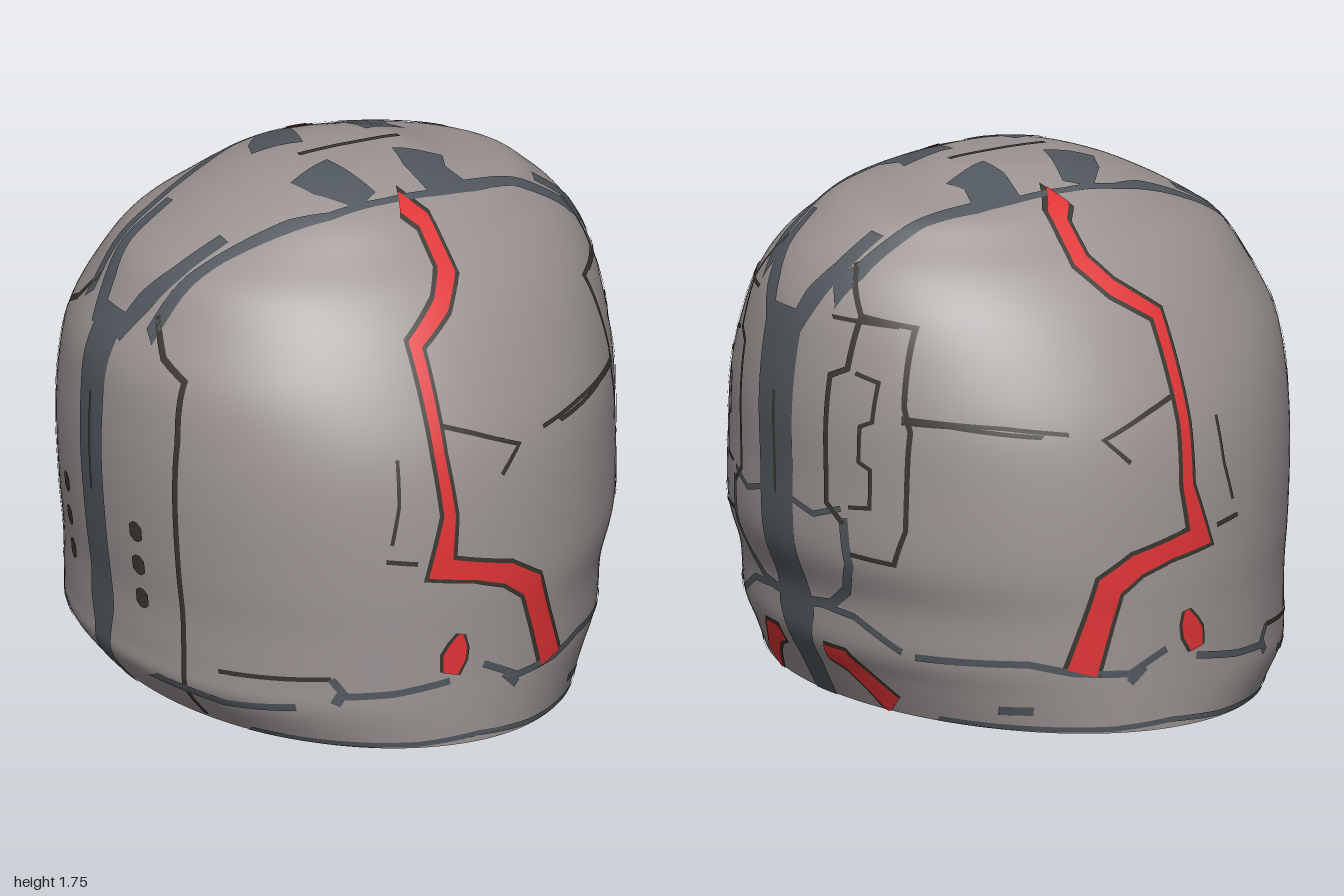
import * as THREE from 'three';

const mat = (name, color) => {
  const m = new THREE.MeshStandardMaterial({ color, side: THREE.DoubleSide });
  m.name = name;
  return m;
};

// Half-sizes of the shell by height: [y, -x side, +x side, z]
const PROFILE = [
  [0, .75, .70, 1], [.12, .85, .76, 1], [.22, .86, .81, .998], [.38, .865, .83, .995],
  [.55, .885, .89, .99], [.8, .905, .9, .965], [1, .905, .905, .92], [1.18, .885, .89, .84],
  [1.35, .80, .855, .735], [1.47, .72, .79, .63], [1.56, .59, .70, .52], [1.63, .46, .60, .43],
  [1.675, .36, .4, .345], [1.72, .23, .27, .22], [1.735, .14, .2, .13], [1.74, 0, 0, 0],
];
const RINGS = 90, SIDES = 144;
const spline = (k) => new THREE.CatmullRomCurve3(
  PROFILE.map((p) => new THREE.Vector3(p[k], p[0], p[3])), false, 'catmullrom', 0.5);
const leftCurve = spline(1), rightCurve = spline(2);
const rings = Array.from({ length: RINGS + 1 }, (_, i) => {
  const l = leftCurve.getPoint(i / RINGS), r = rightCurve.getPoint(i / RINGS);
  return [l.y, l.x, r.x, l.z];
});

// Shell cross-section at a height, and how far out a point lies (1 = on the shell)
function ringAt(y) {
  let i = 0;
  while (i < RINGS - 1 && rings[i + 1][0] < y) i++;
  const a = rings[i], b = rings[i + 1];
  const t = THREE.MathUtils.clamp((y - a[0]) / (b[0] - a[0]), 0, 1);
  return a.map((v, k) => v + (b[k] - v) * t);
}
function level(p) {
  const [, l, r, c] = ringAt(p.y);
  return Math.hypot(p.x / Math.max(p.x > 0 ? r : l, 1e-3), p.z / Math.max(c, 1e-3));
}

// Drop a flat (u, v) point onto the shell along an axis, lifted by off
function project(axis, sign, u, v, off) {
  const at = (d) => axis === 'z' ? new THREE.Vector3(u, Math.max(v, 0), sign * d)
    : axis === 'x' ? new THREE.Vector3(sign * d, Math.max(v, 0), u)
      : new THREE.Vector3(u, d, v);
  let lo = axis === 'y' ? 0.5 : 0, hi = axis === 'y' ? 1.74 : 1.1;
  for (let i = 0; i < 30; i++) {
    const m = (lo + hi) / 2;
    if (level(at(m)) < 1) lo = m; else hi = m;
  }
  const p = at(lo), n = new THREE.Vector3(), e = 0.002;
  for (const k of ['x', 'y', 'z']) {
    const a = p.clone(), b = p.clone();
    a[k] += e; b[k] -= e;
    n[k] = level(a) - level(b);
  }
  return p.addScaledVector(n.normalize(), off);
}

function gridGeometry(pos, rows, cols) {
  const index = [];
  for (let i = 0; i < rows; i++) for (let j = 0; j < cols; j++) {
    const a = i * (cols + 1) + j, b = a + cols + 1;
    index.push(a, b, a + 1, b, b + 1, a + 1);
  }
  const g = new THREE.BufferGeometry();
  g.setAttribute('position', new THREE.Float32BufferAttribute(pos, 3));
  g.setIndex(index);
  g.computeVertexNormals();
  return g;
}

// Painted strip following [u, v, width] points, with mitred corners
function stripGeometry(axis, sign, pts, grow, off) {
  const edges = pts.map((p, i) => {
    const dir = (a, b) => new THREE.Vector2(b[0] - a[0], b[1] - a[1]).normalize();
    const d0 = dir(pts[Math.max(i - 1, 0)], pts[Math.max(i, 1)]);
    const d1 = i < pts.length - 1 ? dir(p, pts[i + 1]) : d0;
    const t = d0.clone().add(d1).normalize();
    const w = (p[2] + grow) / 2 / Math.max(t.dot(d1), 0.7);
    return [p[0] - t.y * w, p[1] + t.x * w, p[0] + t.y * w, p[1] - t.x * w];
  });
  const pos = [], cols = 4;
  let rows = -1;
  edges.forEach((e, i) => {
    const prev = edges[Math.max(i - 1, 0)];
    const n = i ? Math.ceil(Math.hypot(pts[i][0] - pts[i - 1][0], pts[i][1] - pts[i - 1][1]) / 0.03) : 1;
    for (let s = 1; s <= n; s++) {
      const q = e.map((v, k) => prev[k] + (v - prev[k]) * s / n);
      for (let j = 0; j <= cols; j++) {
        const f = j / cols;
        pos.push(...project(axis, sign, q[0] + (q[2] - q[0]) * f, q[1] + (q[3] - q[1]) * f, off).toArray());
      }
      rows++;
    }
  });
  return gridGeometry(pos, rows, cols);
}

export function createModel() {
  const model = new THREE.Group();
  const shellGrey = mat('shell warm grey', 0x9a9291);
  const slate = mat('slate grey', 0x50575d);
  const red = mat('crack red', 0xe03335);
  const dark = mat('dark line', 0x3a362f);

  // Open-bottomed domed shell
  const pos = [];
  for (const [y, l, r, c] of rings) for (let j = 0; j <= SIDES; j++) {
    const a = (j / SIDES) * Math.PI * 2, x = Math.cos(a);
    pos.push(x * (x > 0 ? r : l), y, c * Math.sin(a));
  }
  const shell = new THREE.Mesh(gridGeometry(pos, RINGS, SIDES), shellGrey);
  shell.name = 'shell';
  model.add(shell);

  // Paint shows on both the outer and inner faces
  const paint = (name, material, axis, sign, pts, grow = 0, off = 0.004) => {
    for (const o of [off, -off]) {
      const m = new THREE.Mesh(stripGeometry(axis, sign, pts, grow, o), material);
      m.name = name;
      model.add(m);
    }
  };
  const line = (w, ...pts) => pts.map(([u, v]) => [u, v, w]);
  const mirrored = (pts) => pts.map(([u, v, w]) => [-u, v, w]);
  const crack = (name, axis, sign, pts, halo) => {
    paint(name + 'Edge', dark, axis, sign, pts, halo, 0.004);
    paint(name, red, axis, sign, pts, 0, 0.007);
  };

  // Front and back: identical, mirrored in z
  for (const s of [1, -1]) {
    crack('mainCrack', 'z', s, [[.04, 1.665, .05], [.09, 1.62, .05], [.095, 1.5, .055], [.03, 1.42, .05],
      [-.1, 1.33, .04], [-.1, 1, .035], [-.085, .8, .04], [-.125, .625, .07], [0, .6, .06], [.12, .565, .07],
      [.215, .5, .08], [.25, .38, .08], [.3, .21, .09]], .028);
    crack('smallCrack', 'z', s, [[-.1, .255, .05], [-.085, .31, .08], [-.07, .35, .06], [-.06, .39, .015]], .022);
    [line(.016, [-.08, 1.09], [.03, 1.05], [.2, .98], [.12, .9]),
      line(.014, [.31, 1.005], [.5, 1.03], [.74, 1.045]),
      line(.012, [-.24, 1], [-.25, .85], [-.28, .72]),
      line(.016, [-.3, .665], [-.2, .65]),
      line(.014, [.7, 1.33], [.82, 1.335]),
      line(.016, [-.72, .22], [-.46, .25]),
    ].forEach((p) => paint('hairlineCrack', dark, 'z', s, p));
    [line(.024, [-.46, .25], [-.42, .19], [-.28, .2], [-.1, .23]),
      line(.024, [.02, .27], [.08, .24], [.15, .2], [.32, .21], [.45, .24], [.69, .23]),
      line(.03, [.1, .22], [.15, .17]), line(.03, [-.43, .2], [-.45, .16]),
      line(.025, [-.82, .13], [-.7, .11], [-.55, .14]),
      line(.03, [.42, .075], [.5, .07]),
      line(.018, [-.62, .012], [-.2, .015], [0, .03], [.2, .015], [.6, .012]),
    ].forEach((p) => paint('baseLine', slate, 'z', s, p));
  }

  // Crown: ridges either side of the centre seam, with dark blocks
  const ridge = [[.8, .2, .05], [.72, .24, .05], [.5, .27, .04], [.33, .31, .06], [.2, .34, .03], [0, .35, .025],
    [-.2, .34, .03], [-.33, .3, .05], [-.55, .25, .04], [-.8, .21, .05]];
  const blocks = [[[-.16, .11, .17], [-.13, .2, .16], [-.06, .33, .1]], [[.24, .11, .17], [.22, .2, .15], [.25, .33, .17]]];
  for (const s of [1, -1]) {
    const flip = (pts) => pts.map(([x, z, w]) => [x, z * s, w]);
    paint('crownRidge', slate, 'y', 1, flip(ridge));
    blocks.forEach((b) => paint('crownBlock', slate, 'y', 1, flip(b)));
  }
  paint('crownSeam', dark, 'y', 1, line(.022, [-.14, 0], [.23, 0]));

  // Side bands with forked tops
  for (const s of [1, -1]) {
    const w = s > 0 ? .21 : .16;
    paint('sideBand', slate, 'x', s, [[0, 1.33, w], [0, .4, w * .9], [0, .3, w], [0, .2, w * .7], [0, 0, w * .6]]);
    paint('sideSeam', dark, 'x', s, line(.014, [0, 1.05], [0, .7]), 0, .006);
    const fork = [[.07, 1.26, .06], [.12, 1.38, .08], [.17, 1.48, .06], [.19, 1.58, .05]];
    for (const f of [fork, mirrored(fork)]) paint('bandFork', slate, 'x', s, f);
  }

  // +x side: panel outlines, collar and base cracks
  const panels = [
    line(.016, [.21, 1.5], [.25, 1.44], [.32, 1.35], [.48, 1.33], [.52, 1.08], [.55, 1], [.55, .67], [.51, .55], [.35, .56]),
    line(.02, [.32, 1.35], [.32, 1.18], [.26, 1.15], [.26, .72], [.33, .66]),
    line(.014, [.35, 1.17], [.43, 1.15], [.43, 1.02], [.39, 1], [.39, .88], [.43, .86], [.43, .73], [.35, .72]),
    line(.014, [.52, 1.03], [.65, 1.03], [.83, 1]),
  ];
  const collar = [
    line(.035, [.33, .68], [.34, .52], [.29, .42], [.2, .355], [.08, .34]),
    line(.02, [.32, .71], [.2, .67], [.09, .7]),
    line(.024, [.48, .24], [.4, .28], [.3, .33], [.08, .35]),
  ];
  const baseCrack = [[.13, .18, .05], [.22, .165, .08], [.29, .1, .08], [.36, .025, .1]];
  for (const m of [(p) => p, mirrored]) {
    panels.forEach((p) => paint('panelLine', dark, 'x', 1, m(p)));
    collar.forEach((p) => paint('collarLine', slate, 'x', 1, m(p)));
    crack('baseCrack', 'x', 1, m(baseCrack), .02);

    // -x side: panel edge and three vent dots
    paint('panelEdge', dark, 'x', -1, m(line(.02, [.2, 1.36], [.3, 1.25], [.4, 1.2], [.42, 1], [.42, .02])));
    for (const y of [.39, .51, .63]) {
      paint('ventDot', dark, 'x', -1, m([[.24, y - .035, .02], [.24, y - .02, .06], [.24, y + .02, .06], [.24, y + .035, .02]]));
    }
  }
  return model;
}
